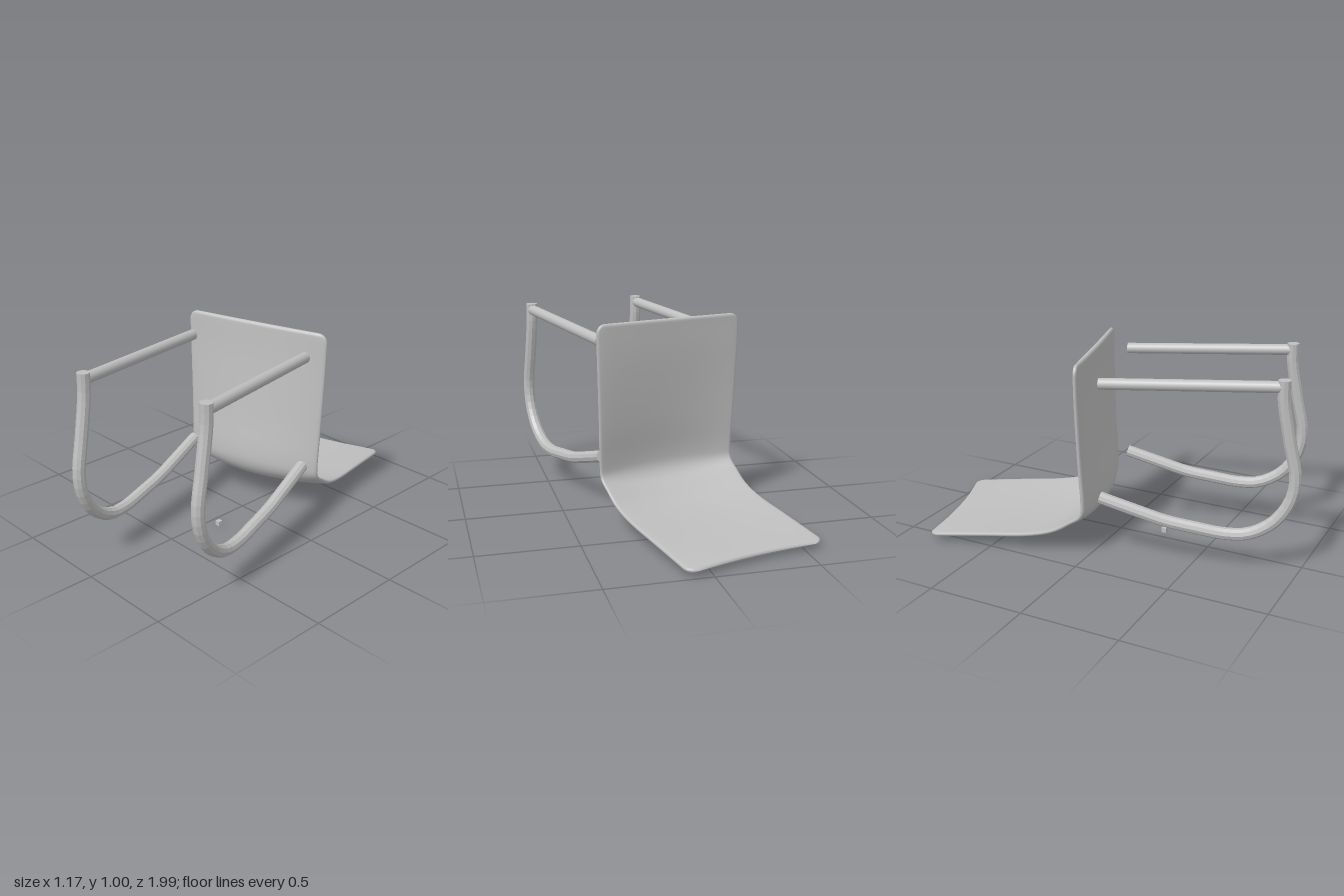
import * as THREE from 'three';

const grey = new THREE.MeshStandardMaterial({ color: 0xbfbfbf });
grey.name = 'grey';
const facetedGrey = grey.clone();
facetedGrey.name = 'grey faceted';
facetedGrey.flatShading = true;

// Bent shell: seat panel running into the backrest, swept as closed cross-sections
function shellGeometry() {
  // half width, height, depth, bow of the middle
  const stations = [
    [0.407, 1.004, -0.137, 0.005], [0.402, 0.8, -0.135, 0.015], [0.392, 0.5, -0.125, 0.035],
    [0.386, 0.3, -0.115, 0.05], [0.384, 0.225, -0.125, 0.05], [0.382, 0.18, -0.185, 0.045],
    [0.38, 0.125, -0.28, 0.035], [0.377, 0.09, -0.42, 0.025], [0.374, 0.065, -0.65, 0.018],
    [0.37, 0.033, -0.945, 0.005],
  ];
  const path = new THREE.CatmullRomCurve3(
    stations.map(([w, y, z]) => new THREE.Vector3(w, y, z)), false, 'catmullrom', 0.5);
  const bows = new THREE.CatmullRomCurve3(
    stations.map((s) => new THREE.Vector3(s[3], 0, 0)), false, 'catmullrom', 0.5);
  const rows = 72, around = 48, corner = 0.05, half = 0.014;
  const start = path.getPoint(0), end = path.getPoint(1);
  const positions = [], index = [];

  for (let i = 0; i <= rows; i++) {
    const t = (1 - Math.cos((Math.PI * i) / rows)) / 2;
    const p = path.getPoint(t), tan = path.getTangent(t);
    const len = Math.hypot(tan.y, tan.z);
    const ty = tan.y / len, tz = tan.z / len;
    const d = Math.min(p.distanceTo(start), p.distanceTo(end));
    // rounded corners and rounded end rims
    const c = Math.max(0, corner - d), r = Math.max(0, 1 - d / half);
    const width = p.x - (corner - Math.sqrt(corner * corner - c * c));
    const thick = half * Math.sqrt(1 - r * r);
    const bow = bows.getPoint(t).x;
    const indent = -0.025 * THREE.MathUtils.smoothstep(t, 0.75, 1);
    for (let j = 0; j < around; j++) {
      const a = (2 * Math.PI * j) / around;
      const u = Math.cos(a), s = Math.sin(a);
      const middle = 1 - u * u;
      const out = bow * middle + thick * Math.sign(s) * Math.pow(Math.abs(s), 0.3);
      const along = indent * middle;
      positions.push(width * u, p.y + tz * out + ty * along, p.z - ty * out + tz * along);
      if (i < rows) {
        const k = (j + 1) % around, A = i * around, B = A + around;
        index.push(A + j, A + k, B + j, A + k, B + k, B + j);
      }
    }
  }
  const geometry = new THREE.BufferGeometry();
  geometry.setAttribute('position', new THREE.Float32BufferAttribute(positions, 3));
  geometry.setIndex(index);
  geometry.computeVertexNormals();
  return geometry;
}

// Curved leg tube with closed ends
function bentLeg(x) {
  const leg = new THREE.Group();
  const curve = new THREE.CatmullRomCurve3([
    [0.98, 0.835], [0.88, 0.838], [0.68, 0.876], [0.5, 0.912], [0.385, 0.895], [0.27, 0.824],
    [0.198, 0.711], [0.183, 0.6], [0.2, 0.44], [0.222, 0.293], [0.25, 0.19], [0.315, -0.037],
  ].map(([y, z]) => new THREE.Vector3(x, y, z)));
  const radius = 0.031, sides = 10;
  leg.add(new THREE.Mesh(new THREE.TubeGeometry(curve, 36, radius, sides), facetedGrey));
  for (const t of [0, 1]) {
    const cap = new THREE.Mesh(new THREE.CircleGeometry(radius, sides), facetedGrey);
    const p = curve.getPoint(t);
    cap.position.copy(p);
    cap.lookAt(p.clone().addScaledVector(curve.getTangent(t), t ? 1 : -1));
    leg.add(cap);
  }
  leg.name = 'bentLeg';
  return leg;
}

// Straight rod joining the leg top to the seat
function straightRod(x) {
  const a = new THREE.Vector3(x, 0.904, -0.037), b = new THREE.Vector3(x, 0.947, 0.835);
  const rod = new THREE.Mesh(new THREE.CylinderGeometry(0.028, 0.028, a.distanceTo(b), 20), grey);
  rod.position.copy(a).lerp(b, 0.5);
  rod.quaternion.setFromUnitVectors(new THREE.Vector3(0, 1, 0), b.clone().sub(a).normalize());
  rod.name = 'straightRod';
  return rod;
}

export function createModel() {
  const model = new THREE.Group();
  model.name = 'tippedChair';
  // The chair lies on its back, turned a little
  const chair = new THREE.Group();
  chair.name = 'chair';
  chair.rotation.y = 0.253;

  const shell = new THREE.Mesh(shellGeometry(), grey);
  shell.name = 'seatAndBackrest';
  chair.add(shell);
  for (const x of [-0.327, 0.335]) chair.add(bentLeg(x), straightRod(x));

  // Small loose block on the ground
  const block = new THREE.Mesh(new THREE.BoxGeometry(0.025, 0.025, 0.025), grey);
  block.name = 'smallBlock';
  block.position.set(0.061, 0.0125, 0.228);
  model.add(chair, block);
  return model;
}
